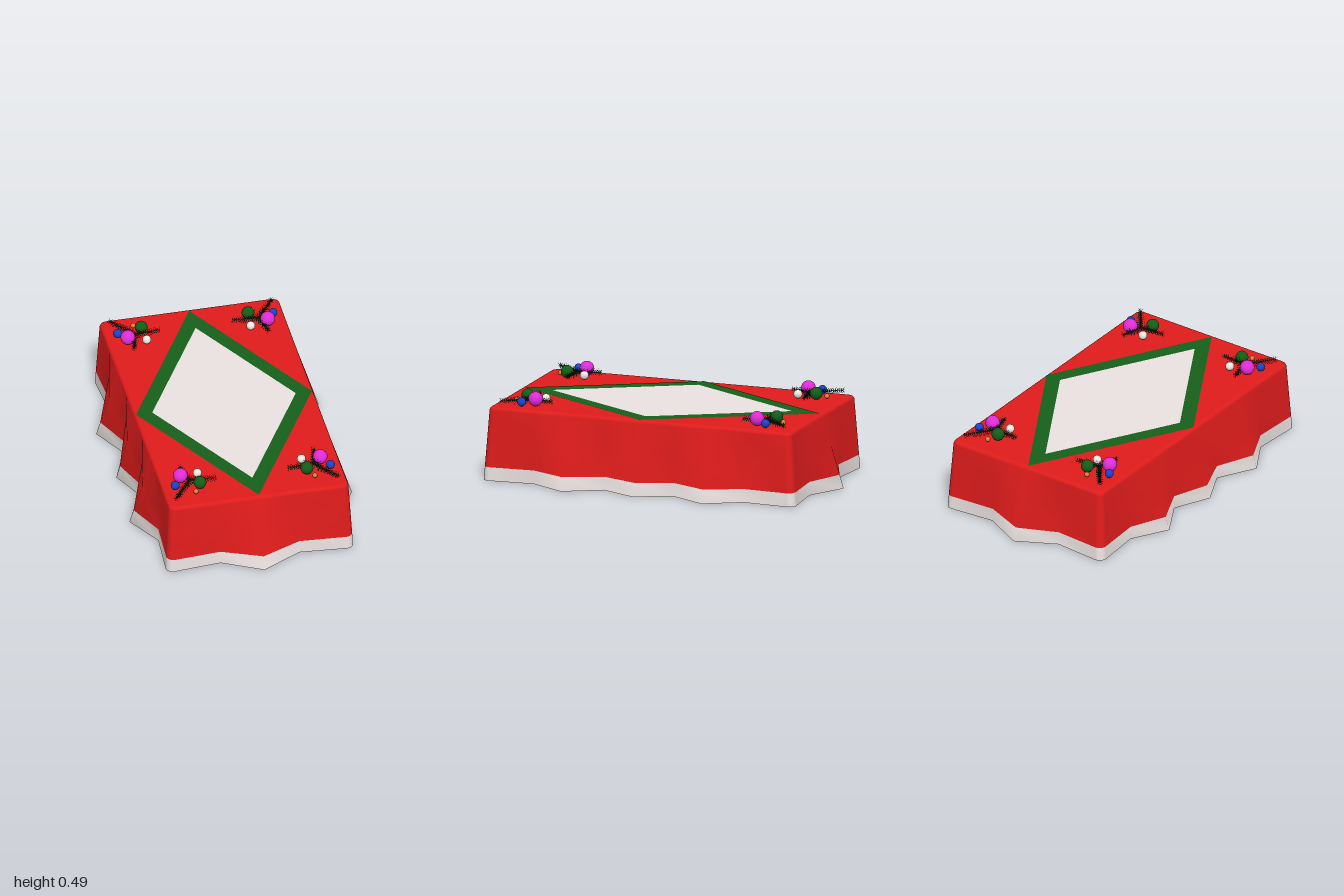
import * as THREE from 'three';
import { mergeGeometries } from 'three/addons/utils/BufferGeometryUtils.js';

const TOP = 0.405, BEVEL = 0.387, TRIM = 0.075;
const paint = (color, side = THREE.FrontSide) => new THREE.MeshStandardMaterial({ color, side });

function part(name, geometry, material) {
  const mesh = new THREE.Mesh(geometry, material);
  mesh.name = name;
  return mesh;
}

// Outline of the cloth: one quadrant from +x to +z, then mirrored round.
// Each point is [x, z] at the table edge and [x, z] at the hem.
function clothOutline() {
  const quarter = [
    [0.5, 0, 0.6, 0], [0.5, 0.2, 0.505, 0.2], [0.5, 0.41, 0.62, 0.41], [0.5, 0.61, 0.505, 0.61],
  ];
  for (let i = 0; i <= 6; i++) {
    const a = (i / 6) * Math.PI / 2, c = 0.04 * Math.cos(a), s = 0.04 * Math.sin(a);
    quarter.push([0.465 + c * 0.9, 0.845 + s * 0.9, 0.482 + c, 0.868 + s]);
  }
  quarter.push([0.22, 0.88, 0.22, 0.885], [0, 0.88, 0, 1]);
  const flip = (list, sx, sz) => list.map(([a, b, c, d]) => [a * sx, b * sz, c * sx, d * sz]);
  const back = [...quarter].reverse();
  return [
    ...quarter.slice(0, -1), ...flip(back, -1, 1).slice(0, -1),
    ...flip(quarter, -1, -1).slice(0, -1), ...flip(back, 1, -1).slice(0, -1),
  ];
}

// Skin between closed rings, listed from the top down.
function loft(rings) {
  const n = rings[0].length, index = [];
  for (let r = 0; r < rings.length - 1; r++) {
    for (let i = 0; i < n; i++) {
      const a = r * n + i, b = r * n + (i + 1) % n;
      index.push(a, b, a + n, b, b + n, a + n);
    }
  }
  const g = new THREE.BufferGeometry();
  g.setAttribute('position', new THREE.Float32BufferAttribute(rings.flat(2), 3));
  g.setIndex(index);
  g.computeVertexNormals();
  return g;
}

function diamond(x, z, Type = THREE.Shape) {
  return new Type([[x, 0], [0, z], [-x, 0], [0, -z]].map(p => new THREE.Vector2(...p)));
}

// One fir twig: a thin stem with whorls of forward-leaning needles.
function twig(from, to) {
  const pieces = [], up = new THREE.Vector3(0, 1, 0);
  const spike = (start, dir, length, radius, sides) => {
    const g = new THREE.ConeGeometry(radius, length, sides, 1, true);
    g.translate(0, length / 2, 0);
    g.applyQuaternion(new THREE.Quaternion().setFromUnitVectors(up, dir));
    g.translate(start.x, start.y, start.z);
    pieces.push(g);
  };
  const dir = to.clone().sub(from), length = dir.length();
  dir.normalize();
  const side = new THREE.Vector3().crossVectors(dir, up).normalize();
  const lift = new THREE.Vector3().crossVectors(side, dir);
  spike(from, dir, length, 0.005, 6);
  const rows = Math.round(length / 0.011);
  for (let i = 1; i <= rows; i++) {
    const start = from.clone().lerp(to, i / rows - 0.06);
    for (let k = 0; k < 7; k++) {
      const a = (k + (i % 2) * 0.5) / 7 * Math.PI * 2;
      const d = dir.clone().multiplyScalar(0.6)
        .addScaledVector(side, Math.cos(a)).addScaledVector(lift, Math.sin(a)).normalize();
      spike(start, d, 0.034 - 0.012 * i / rows, 0.0018, 3);
    }
  }
  return mergeGeometries(pieces);
}

export function createModel() {
  const model = new THREE.Group();
  model.name = 'holidayTablecloth';
  const red = paint(0xe01c1c, THREE.DoubleSide), white = paint(0xeae2e0, THREE.DoubleSide);
  const green = paint(0x17601a, THREE.DoubleSide);

  // Cloth top, rounded edge and flared skirt, with a white hem band
  const outline = clothOutline();
  const flat = (inset, y) => outline.map(([x, z]) => [x * (1 - inset / 0.5), y, z * (1 - inset / 0.88)]);
  const drop = y => {
    const t = (BEVEL - y) / BEVEL;
    return outline.map(([x, z, hx, hz]) => [x + (hx - x) * t, y, z + (hz - z) * t]);
  };
  const centre = outline.map(() => [0, TOP, 0]);
  model.add(part('cloth', loft([centre, flat(0.024, TOP), flat(0.018, TOP), flat(0.009, 0.4025),
    flat(0.003, 0.397), drop(BEVEL), drop(0.23), drop(TRIM)]), red));
  model.add(part('hem', loft([drop(TRIM), drop(0)]), white));

  // Diamond panel with a green border
  const border = diamond(0.49, 0.86);
  border.holes.push(diamond(0.4, 0.7, THREE.Path));
  const panels = [['diamondBorder', border, green], ['diamondPanel', diamond(0.4, 0.7), white]];
  for (const [name, shape, material] of panels) {
    const g = new THREE.ShapeGeometry(shape).rotateX(-Math.PI / 2).translate(0, TOP + 0.002, 0);
    model.add(part(name, g, material));
  }

  // Corner decorations: fir sprig and baubles, mirrored to all four corners
  const needles = paint(0x0f2a10, THREE.DoubleSide);
  const tips = [[0.2, 0.69], [0.455, 0.83], [0.375, 0.555]];
  const sprig = (sx, sz) => mergeGeometries(tips.map(([x, z]) => twig(
    new THREE.Vector3(0.345 * sx, 0.435, 0.68 * sz), new THREE.Vector3(x * sx, 0.435, z * sz))));
  const baubles = [
    ['magentaBauble', 0.39, 0.447, 0.645, 0.04, paint(0xe02bd8)],
    ['greenBauble', 0.298, 0.443, 0.725, 0.035, paint(0x145c17)],
    ['blueBauble', 0.433, 0.434, 0.71, 0.024, paint(0x1c40c8)],
    ['whiteBauble', 0.29, 0.432, 0.622, 0.024, paint(0xeae6e2)],
    ['orangeBauble', 0.331, 0.424, 0.775, 0.014, paint(0xe07a3c)],
  ];
  for (const sx of [1, -1]) {
    for (const sz of [1, -1]) {
      const corner = new THREE.Group();
      corner.name = (sz > 0 ? 'front' : 'back') + (sx > 0 ? 'Left' : 'Right') + 'Decoration';
      corner.add(part('firSprig', sprig(sx, sz), needles));
      for (const [name, x, y, z, r, material] of baubles) {
        const ball = part(name, new THREE.SphereGeometry(r, 24, 16), material);
        ball.position.set(x * sx, y, z * sz);
        corner.add(ball);
      }
      model.add(corner);
    }
  }
  return model;
}
